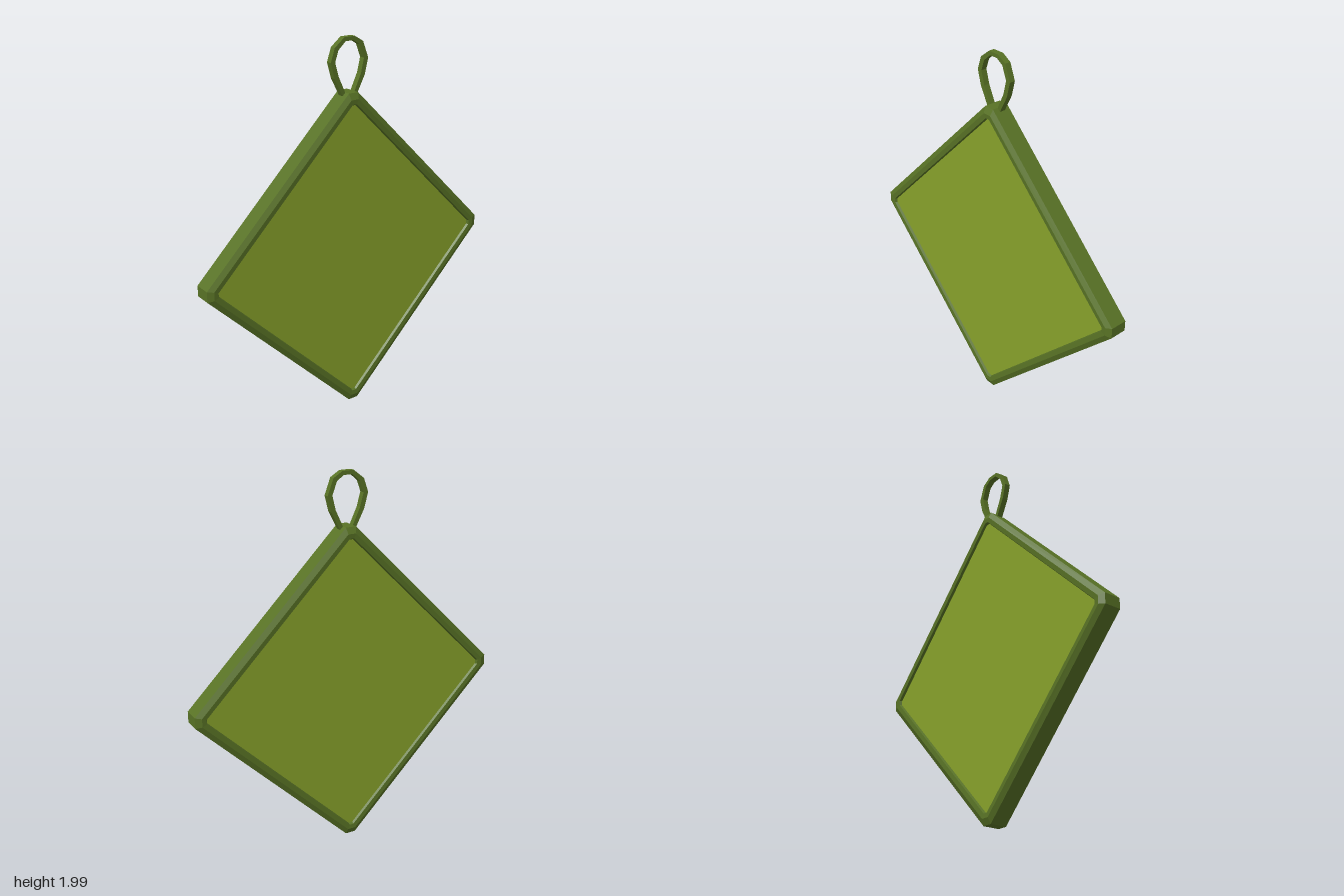
import * as THREE from 'three';

const CENTER_Y = 0.866;

// Diamond outline with cut corners, counter-clockwise: size is |x| + |y| along the sides
function diamond(size, cut) {
  const a = size - cut;
  return [[a, -cut], [a, cut], [cut, a], [-cut, a], [-a, cut], [-a, -cut], [-cut, -a], [cut, -a]];
}

// Joins diamond rings of [size, cut, z] into a band
function ringGeometry(profile) {
  const pos = [], index = [], n = 8;
  for (const [size, cut, z] of profile)
    for (const [x, y] of diamond(size, cut)) pos.push(x, y, z);
  for (let j = 0; j < profile.length - 1; j++)
    for (let k = 0; k < n; k++) {
      const a = j * n + k, b = j * n + (k + 1) % n;
      index.push(a, b, b + n, a, b + n, a + n);
    }
  const g = new THREE.BufferGeometry();
  g.setAttribute('position', new THREE.Float32BufferAttribute(pos, 3));
  g.setIndex(index);
  const flat = g.toNonIndexed();
  flat.computeVertexNormals();
  return flat;
}

// Flat plate of the given outline, centred on z = 0
function plate(points, depth) {
  const shape = new THREE.Shape(points.map(([x, y]) => new THREE.Vector2(x, y)));
  return new THREE.ExtrudeGeometry(shape, { depth, bevelEnabled: false }).translate(0, 0, -depth / 2);
}

export function createModel() {
  const group = new THREE.Group();
  const frameGreen = new THREE.MeshStandardMaterial({ color: 0x587225 });
  frameGreen.name = 'dark olive green';
  const panelGreen = new THREE.MeshStandardMaterial({ color: 0x87a12a });
  panelGreen.name = 'light olive green';

  const add = (name, geometry, material, y) => {
    const mesh = new THREE.Mesh(geometry, material);
    mesh.name = name;
    mesh.position.y = y;
    group.add(mesh);
  };

  // Bevelled frame, from the back inner lip round the outside to the front inner lip
  const half = [[0.89, 0.028, 0.046], [0.852, 0.022, 0.06], [0.818, 0.012, 0.058], [0.81, 0.012, 0.042]];
  const back = half.map(([s, c, z]) => [s, c, -z]).reverse();
  add('frame', ringGeometry([...back, ...half]), frameGreen, CENTER_Y);

  // Slightly recessed panel, seen on both faces
  add('panel', plate(diamond(0.815, 0.012), 0.09), panelGreen, CENTER_Y);

  // Hanging loop, a faceted flat strap with its ends in the frame
  const outer = [[0.04, 1.7], [0.092, 1.8], [0.112, 1.88], [0.08, 1.965], [0.03, 1.995],
    [-0.033, 1.995], [-0.09, 1.95], [-0.114, 1.88], [-0.092, 1.8], [-0.04, 1.7]];
  const inner = [[0.017, 1.7], [0.068, 1.808], [0.086, 1.882], [0.06, 1.95], [0.022, 1.975],
    [-0.025, 1.975], [-0.068, 1.937], [-0.088, 1.88], [-0.068, 1.808], [-0.017, 1.7]];
  add('hangingLoop', plate([...outer, ...inner.reverse()], 0.032), frameGreen, 0.004);

  return group;
}
